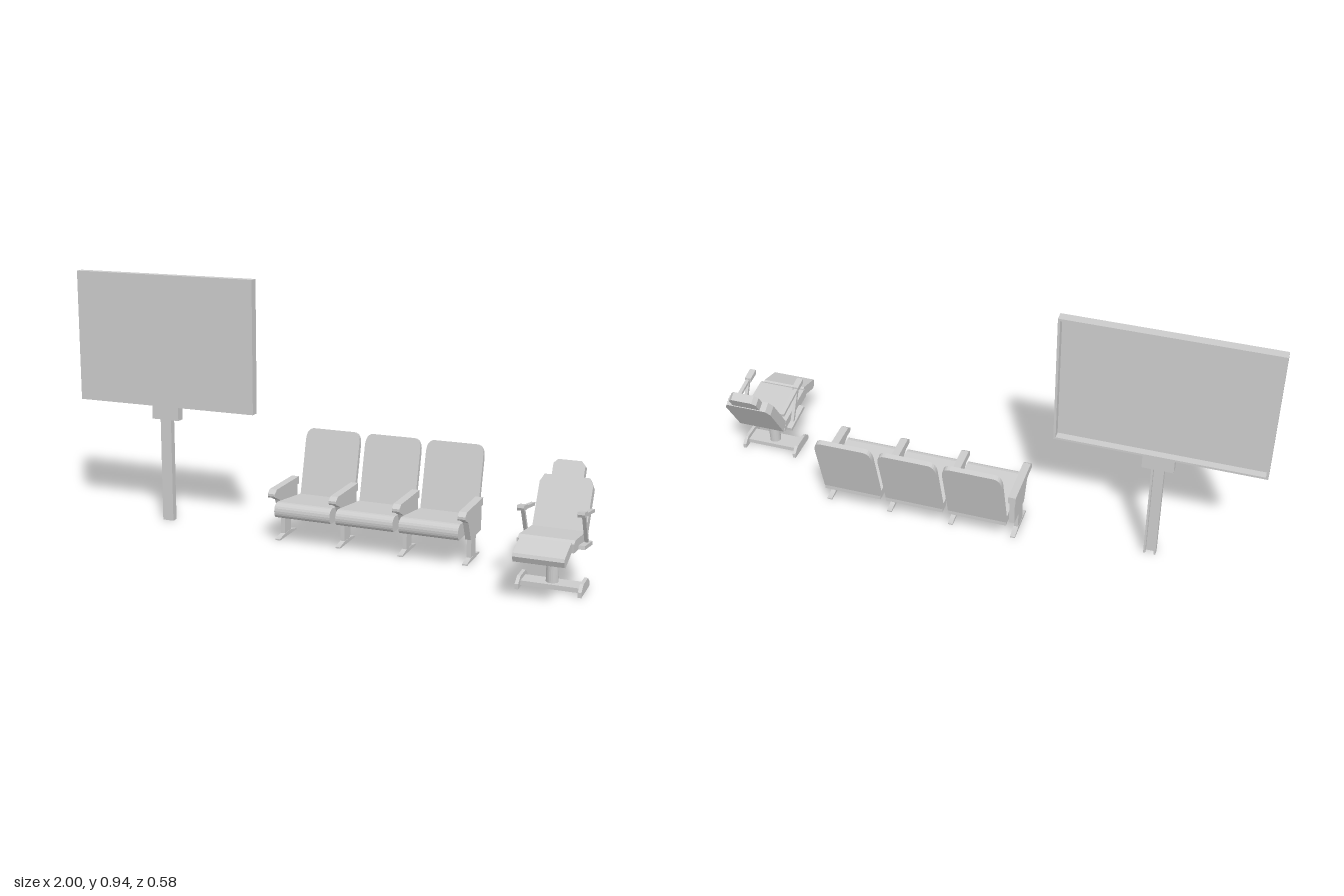
import * as THREE from 'three';

const material = new THREE.MeshStandardMaterial({ color: 0xcccccc, flatShading: true });

function add(parent, name, geometry, x = 0, y = 0, z = 0) {
  const mesh = new THREE.Mesh(geometry, material);
  mesh.name = name;
  mesh.position.set(x, y, z);
  parent.add(mesh);
  return mesh;
}

// Box given by its limits on each axis
function block(parent, name, x0, x1, y0, y1, z0, z1) {
  return add(parent, name, new THREE.BoxGeometry(x1 - x0, y1 - y0, z1 - z0),
    (x0 + x1) / 2, (y0 + y1) / 2, (z0 + z1) / 2);
}

// Side profile of [z, y] points, or a shape, extruded across x and centred on x
function sideProfile(parent, name, profile, x, width) {
  const shape = Array.isArray(profile)
    ? new THREE.Shape(profile.map(([z, y]) => new THREE.Vector2(z, y))) : profile;
  const geometry = new THREE.ExtrudeGeometry(shape, { depth: width, bevelEnabled: false, curveSegments: 5 });
  geometry.translate(0, 0, -width / 2).rotateY(-Math.PI / 2);
  return add(parent, name, geometry, x);
}

// Straight bar of even thickness between two [z, y] points
function sideBar(parent, name, [z0, y0], [z1, y1], thickness, x, width) {
  const length = Math.hypot(z1 - z0, y1 - y0);
  const nz = -(y1 - y0) / length * thickness / 2, ny = (z1 - z0) / length * thickness / 2;
  return sideProfile(parent, name,
    [[z0 - nz, y0 - ny], [z1 - nz, y1 - ny], [z1 + nz, y1 + ny], [z0 + nz, y0 + ny]], x, width);
}

// Display panel with a recessed back, on a channel post
function makeScreen() {
  const g = new THREE.Group();
  g.name = 'screen';
  const x0 = -1, x1 = -0.27, y0 = 0.445, y1 = 0.94, front = -0.08, back = -0.113, t = 0.008;
  block(g, 'screenPanel', x0, x1, y0, y1, front - 0.006, front);
  block(g, 'screenFrameTop', x0, x1, y1 - t, y1, back, front - 0.006);
  block(g, 'screenFrameBottom', x0, x1, y0, y0 + t, back, front - 0.006);
  for (const x of [x0, x1 - t]) block(g, 'screenFrameSide', x, x + t, y0 + t, y1 - t, back, front - 0.006);

  block(g, 'screenBracket', -0.69, -0.58, 0.395, y0, back, front);
  block(g, 'postWeb', -0.657, -0.613, 0, 0.395, -0.09, -0.083);
  for (const x of [-0.657, -0.62]) block(g, 'postFlange', x, x + 0.007, 0, 0.395, -0.108, -0.09);
  return g;
}

// Row of three seats sharing four arm supports
function makeSeatRow() {
  const g = new THREE.Group();
  g.name = 'seatRow';
  const first = -0.029, pitch = 0.236, width = 0.214;

  const cushion = new THREE.Shape();
  cushion.moveTo(-0.221, 0.1);
  cushion.lineTo(0.012, 0.1);
  cushion.quadraticCurveTo(0.03, 0.105, 0.03, 0.128);
  cushion.quadraticCurveTo(0.028, 0.154, 0, 0.155);
  cushion.lineTo(-0.205, 0.13);
  cushion.lineTo(-0.221, 0.123);

  const h = width / 2, top = 0.256, r = 0.03;
  const back = new THREE.Shape();
  back.moveTo(-h, 0);
  back.lineTo(h, 0);
  back.lineTo(h, top - r * 1.6);
  back.quadraticCurveTo(h, top, h - r, top);
  back.lineTo(r - h, top);
  back.quadraticCurveTo(-h, top, -h, top - r * 1.6);

  for (let i = 0; i < 3; i++) {
    const x = first + i * pitch;
    sideProfile(g, 'seatCushion', cushion, x, width);
    const geometry = new THREE.ExtrudeGeometry(back, { depth: 0.019, bevelEnabled: false, curveSegments: 6 });
    add(g, 'seatBack', geometry, x, 0.118, -0.224).rotation.x = -0.254;
  }

  for (let i = 0; i < 4; i++) {
    const x = first + (i - 0.5) * pitch;
    sideProfile(g, 'armrest',
      [[-0.185, 0.175], [0.026, 0.175], [0.03, 0.181], [0.03, 0.19], [0.012, 0.203], [-0.185, 0.203]], x, 0.028);
    sideProfile(g, 'armPanel',
      [[-0.182, 0.083], [-0.057, 0.083], [-0.022, 0.155], [0.02, 0.175], [-0.182, 0.175]], x, 0.02);
    block(g, 'rowLeg', x - 0.008, x + 0.008, 0.012, 0.084, -0.125, -0.07);
    sideProfile(g, 'rowFoot',
      [[-0.172, 0], [-0.023, 0], [-0.023, 0.005], [-0.07, 0.014], [-0.125, 0.014], [-0.172, 0.005]], x, 0.018);
  }
  return g;
}

// Reclining chair on a pedestal
function makeRecliner() {
  const g = new THREE.Group();
  g.name = 'recliner';
  g.position.x = 0.888;

  // Pedestal
  for (const s of [-1, 1]) {
    sideProfile(g, 'baseFoot',
      [[0.01, 0], [0.135, 0], [0.135, 0.018], [0.105, 0.037], [0.037, 0.037], [0.01, 0.018]], s * 0.104, 0.012);
  }
  block(g, 'baseBar', -0.1, 0.1, 0.006, 0.022, 0.04, 0.107);
  add(g, 'column', new THREE.CylinderGeometry(0.021, 0.021, 0.12, 20), 0, 0.078, 0.073);
  sideProfile(g, 'seatMount', [[0.037, 0.123], [0.11, 0.136], [0.11, 0.158], [0.037, 0.147]], 0, 0.105);

  // Cushions
  sideProfile(g, 'reclinerSeat',
    [[-0.02, 0.15], [0, 0.146], [0.188, 0.166], [0.192, 0.196], [0.175, 0.205], [0, 0.183]], 0, 0.182);
  sideProfile(g, 'legRest',
    [[0.188, 0.166], [0.27, 0.142], [0.281, 0.146], [0.29, 0.165], [0.285, 0.176], [0.196, 0.202], [0.187, 0.195]], 0, 0.166);

  // Backrest and headrest, drawn facing forward and then tilted
  const tilted = new THREE.Group();
  tilted.name = 'reclinerBack';
  tilted.position.set(0, 0.152, -0.024);
  tilted.rotation.x = -0.545;
  g.add(tilted);
  const outline = (points) => new THREE.Shape(points.map(([x, y]) => new THREE.Vector2(x, y)));
  const extrude = (points, depth) => new THREE.ExtrudeGeometry(outline(points), { depth, bevelEnabled: false });
  add(tilted, 'backCushion', extrude(
    [[-0.09, 0], [0.09, 0], [0.09, 0.168], [0.077, 0.195], [-0.077, 0.195], [-0.09, 0.168]], 0.038));
  add(tilted, 'headrest', extrude(
    [[-0.054, 0.195], [0.054, 0.195], [0.054, 0.237], [0.04, 0.252], [-0.04, 0.252], [-0.054, 0.237]], 0.032), 0, 0, 0.003);

  // Arms
  for (const s of [-1, 1]) {
    sideProfile(g, 'armPad',
      [[0.137, 0.27], [0.092, 0.265], [0.092, 0.28], [0.14, 0.289], [0.142, 0.28]], s * 0.098, 0.024);
    sideBar(g, 'armBar', [0.1, 0.269], [-0.04, 0.245], 0.011, s * 0.1, 0.014);
    sideBar(g, 'armBrace', [0.1, 0.268], [0.037, 0.158], 0.012, s * 0.1, 0.012);
    sideBar(g, 'sideRail', [0.123, 0.166], [0.002, 0.147], 0.013, s * 0.1, 0.024);
  }
  return g;
}

export function createModel() {
  const model = new THREE.Group();
  model.name = 'seatingSet';
  model.add(makeScreen(), makeSeatRow(), makeRecliner());
  return model;
}
